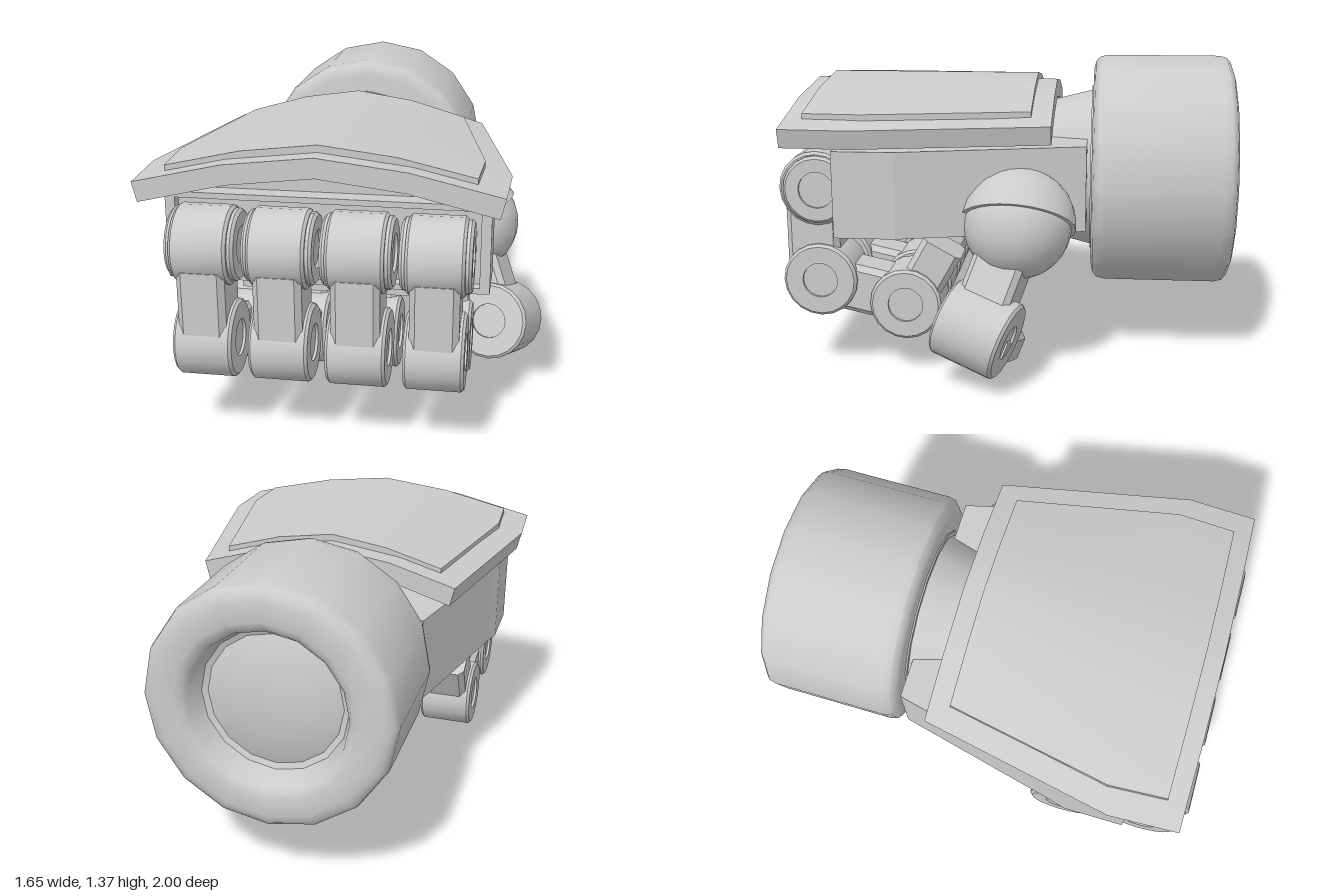
import * as THREE from 'three';
import { toCreasedNormals } from 'three/addons/utils/BufferGeometryUtils.js';

const CX = -0.06; // centre line of the hand
const grey = new THREE.MeshStandardMaterial({ color: 0xcccccc, side: THREE.DoubleSide });
const V = (x, y, z) => new THREE.Vector3(x, y, z);

function add(parent, name, geometry, x = 0, y = 0, z = 0) {
  const mesh = new THREE.Mesh(geometry, grey);
  mesh.name = name;
  mesh.position.set(x, y, z);
  parent.add(mesh);
  return mesh;
}

function lathe(points, sides) {
  const geo = new THREE.LatheGeometry(points.map(p => new THREE.Vector2(p[0], p[1])), sides);
  return toCreasedNormals(geo, 0.65);
}

function polygon(points) {
  return new THREE.Shape(points.map(p => new THREE.Vector2(p[0], p[1])));
}

// Hinge drum along x with a shallow round inset on both ends
function drum(r, w, hub) {
  const h = w / 2, b = 0.012;
  return lathe([[0, -h + 0.012], [hub, -h + 0.012], [hub, -h], [r - b, -h], [r, -h + b],
    [r, h - b], [r - b, h], [hub, h], [hub, h - 0.012], [0, h - 0.012]], 20).rotateZ(-Math.PI / 2);
}

// Chamfered bar from one point to another; w is measured along the hinge axis
function link(parent, name, from, to, axis, w, t) {
  const a = w / 2, b = t / 2, c = 0.025;
  const shape = polygon([[-a + c, -b], [a - c, -b], [a, -b + c], [a, b - c],
    [a - c, b], [-a + c, b], [-a, b - c], [-a, -b + c]]);
  const dir = to.clone().sub(from);
  const geo = new THREE.ExtrudeGeometry(shape, { depth: dir.length(), bevelEnabled: false });
  const z = dir.normalize();
  const y = z.clone().cross(axis).normalize();
  const x = y.clone().cross(z);
  geo.applyMatrix4(new THREE.Matrix4().makeBasis(x, y, z));
  return add(parent, name, geo, from.x, from.y, from.z);
}

// Arched plate: the arch height follows the relative distance from the centre line
function archedPlate(rows, top, thickness, endInset) {
  const geo = new THREE.BoxGeometry(2, 1, 2, 4, 1, 2);
  const p = geo.attributes.position;
  for (let i = 0; i < p.count; i++) {
    const u = p.getX(i), upper = p.getY(i) > 0;
    const [z, half] = rows[Math.round(p.getZ(i)) + 1];
    const y = top[Math.round(Math.abs(u) * 2)] - (upper ? 0 : thickness);
    p.setXYZ(i, CX + u * (half - (upper ? 0 : endInset)), y, z);
  }
  geo.computeVertexNormals();
  return geo;
}

function addPalm(hand) {
  const outline = polygon([[-0.677, -0.69], [0.677, -0.69], [0.677, -0.47], [0.655, -0.39],
    [0.48, 0.34], [-0.48, 0.34], [-0.655, -0.39], [-0.677, -0.47]]);
  const body = new THREE.ExtrudeGeometry(outline, { depth: 0.38, bevelEnabled: false });
  add(hand, 'palm', body.rotateX(-Math.PI / 2), CX, 0.64, 0);

  // Frame around the knuckles
  const frame = polygon([[-0.677, -0.19], [0.677, -0.19], [0.677, 0.19], [-0.677, 0.19]]);
  frame.holes.push(polygon([[-0.635, -0.165], [-0.635, 0.165], [0.635, 0.165], [0.635, -0.165]]));
  add(hand, 'knuckleFrame', new THREE.ExtrudeGeometry(frame, { depth: 0.05, bevelEnabled: false }),
    CX, 0.83, 0.69);

  add(hand, 'palmPad', new THREE.BoxGeometry(0.74, 0.06, 0.3), CX, 0.622, 0.54);

  // Support under the armour
  const support = polygon([[-0.55, 0], [0.55, 0], [0.5, 0.075], [0.37, 0.11], [0, 0.16],
    [-0.37, 0.11], [-0.5, 0.075]]);
  add(hand, 'armourSupport', new THREE.ExtrudeGeometry(support, { depth: 0.29, bevelEnabled: false }),
    CX, 1.01, 0.37);
}

function addArmour(hand) {
  add(hand, 'armourPlate', archedPlate([[-0.19, 0.58], [0.65, 0.748], [0.95, 0.735]],
    [1.25, 1.207, 1.122], 0.083, 0.02));
  add(hand, 'armourPanel', archedPlate([[-0.1, 0.498], [0.62, 0.637], [0.87, 0.623]],
    [1.28, 1.243, 1.172], 0.06, 0));
}

function addWrist(hand) {
  const cuff = lathe([[0, 0.362], [0.47, 0.362], [0.505, 0.37], [0.527, 0.39], [0.535, 0.425],
    [0.535, 0.935], [0.527, 0.97], [0.505, 0.99], [0.47, 1], [0.39, 1], [0.36, 0.99], [0.34, 0.965],
    [0.315, 0.88], [0.29, 0.87], [0.25, 0.885], [0.15, 0.91], [0, 0.92]], 16);
  add(hand, 'wristCuff', cuff.rotateX(-Math.PI / 2), CX, 0.83, 0);
  const forearm = lathe([[0, -0.35], [0.19, -0.35], [0.37, 0.355], [0.39, 0.355], [0.39, 0.37]], 16);
  add(hand, 'wristCone', forearm.rotateX(-Math.PI / 2), CX, 0.83, 0);
}

function addFinger(hand, x) {
  const finger = new THREE.Group();
  finger.name = 'finger';
  finger.position.x = x;
  hand.add(finger);
  const axis = V(1, 0, 0);
  add(finger, 'knuckle', drum(0.165, 0.235, 0.08), 0, 0.835, 0.833);
  add(finger, 'knuckleCollar', drum(0.15, 0.285, 0.08), 0, 0.835, 0.825);
  link(finger, 'upperSegment', V(0, 0.757, 0.862), V(0, 0.42, 0.862), axis, 0.2, 0.235);
  add(finger, 'middleJoint', drum(0.165, 0.245, 0.078), 0, 0.42, 0.83);
  link(finger, 'middleSegment', V(0, 0.4, 0.8), V(0, 0.325, 0.46), axis, 0.2, 0.22);
  add(finger, 'tipJoint', drum(0.16, 0.245, 0.078), 0, 0.315, 0.45);
  link(finger, 'fingertip', V(0, 0.315, 0.43), V(0, 0.568, 0.288), axis, 0.2, 0.19);
}

function addThumb(hand) {
  const thumb = new THREE.Group();
  thumb.name = 'thumb';
  hand.add(thumb);
  const ball = V(0.475, 0.68, -0.045), joint = V(0.64, 0.255, 0.115);
  const axis = V(-0.26, 0.31, 0.915).normalize();

  add(thumb, 'thumbBall', new THREE.SphereGeometry(0.238, 24, 16), ball.x, ball.y, ball.z);

  // Half shell capping the ball, with a solid rim
  const arc = (r, i) => [r * Math.sin(i * Math.PI / 16), r * Math.cos(i * Math.PI / 16)];
  const profile = [arc(0.235, 8)];
  for (let i = 8; i >= 0; i--) profile.push(arc(0.256, i));
  const shell = add(thumb, 'thumbSocket', lathe(profile, 24), ball.x, ball.y, ball.z);
  shell.quaternion.setFromUnitVectors(V(0, 1, 0), V(-0.56, 0.82, -0.07).normalize());

  link(thumb, 'thumbSegment', ball, joint, axis, 0.23, 0.22);
  const hinge = add(thumb, 'thumbJoint', drum(0.175, 0.3, 0.078), joint.x, joint.y, joint.z);
  hinge.quaternion.setFromUnitVectors(V(1, 0, 0), axis);
  link(thumb, 'thumbTip', V(0.65, 0.19, 0.11), V(0.318, 0.088, 0.06), axis, 0.24, 0.15);
}

export function createModel() {
  const hand = new THREE.Group();
  hand.name = 'mechanicalFist';
  addPalm(hand);
  addArmour(hand);
  addWrist(hand);
  for (let i = 0; i < 4; i++) addFinger(hand, CX + (i - 1.5) * 0.315);
  addThumb(hand);
  return hand;
}
